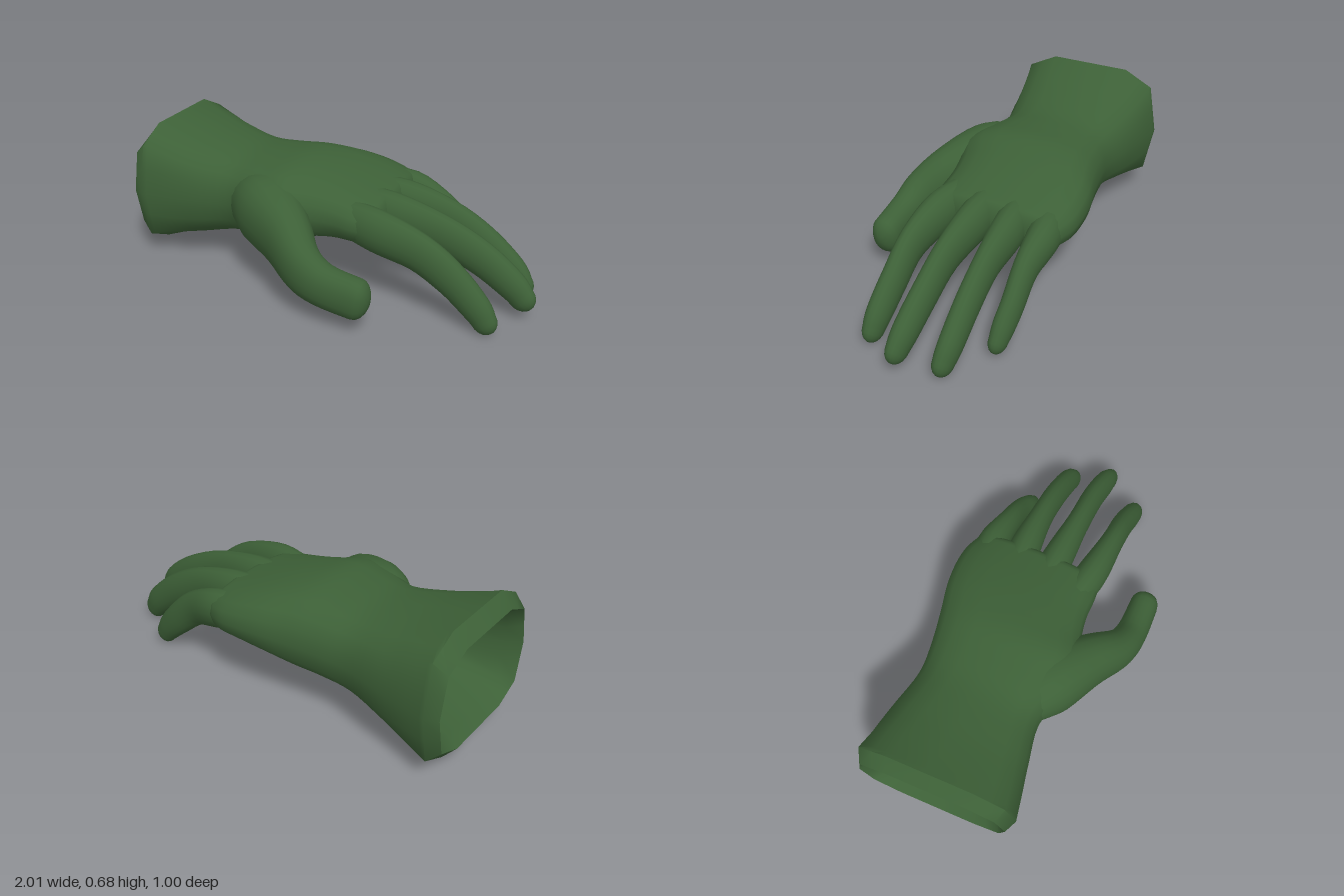
import * as THREE from 'three';
import { toCreasedNormals } from 'three/addons/utils/BufferGeometryUtils.js';

const UP = new THREE.Vector3(0, 1, 0);
const material = new THREE.MeshStandardMaterial({ color: 0x3d6037, side: THREE.DoubleSide });

// A section is [x, y, z, halfWidth, halfHeight, roundness (1 = ellipse), facet (1 = ten-sided)].
// Smoothly fills in sections between the given ones.
function refine(sections, steps) {
  const out = [];
  for (let i = 0; i < sections.length - 1; i++) {
    for (let s = 0; s < steps; s++) {
      const t = s / steps;
      out.push(sections[i].map((b, k) => {
        const c = sections[i + 1][k];
        const a = (sections[i - 1] ?? sections[i])[k];
        const d = (sections[i + 2] ?? sections[i + 1])[k];
        return b + 0.5 * t * (c - a + t * (2 * a - 5 * b + 4 * c - d + t * (3 * (b - c) + d - a)));
      }));
    }
  }
  out.push(sections[sections.length - 1]);
  return out;
}

const centre = (s) => new THREE.Vector3(s[0], s[1], s[2]);

// Turns sections into rings square to the path, and closes the end with a dome.
function ringsAlong(sections, domeLength, fixedFrame) {
  const rings = sections.map((s, i) => {
    const before = sections[Math.max(i - 1, 0)];
    const after = sections[Math.min(i + 1, sections.length - 1)];
    const dir = fixedFrame ? new THREE.Vector3(1, 0, 0)
      : centre(after).sub(centre(before)).normalize();
    const side = dir.clone().cross(UP).normalize();
    return { s, dir, side, up: side.clone().cross(dir), c: centre(s) };
  });
  const last = rings[rings.length - 1];
  for (let k = 1; k <= 5; k++) {
    const a = (k / 5) * Math.PI / 2;
    const s = last.s.slice();
    s[3] *= Math.cos(a);
    s[4] *= Math.cos(a);
    rings.push({ ...last, s, c: last.c.clone().addScaledVector(last.dir, domeLength * Math.sin(a)) });
  }
  return rings;
}

// Skins the rings into one smooth surface.
function skin(name, rings, sides) {
  const pos = [], index = [];
  const power = (v, e) => Math.sign(v) * Math.abs(v) ** e;
  for (const { s, c, side, up } of rings) {
    const [, , , w, h, e = 1, facet = 0] = s;
    const point = (j) => {
      const a = (j / sides) * Math.PI * 2;
      return c.clone().addScaledVector(side, w * power(Math.cos(a), e))
        .addScaledVector(up, h * power(Math.sin(a), e));
    };
    for (let j = 0; j < sides; j++) {
      const p = point(j);
      if (j % 2) p.lerp(point(j - 1).lerp(point(j + 1), 0.5), facet);
      pos.push(p.x, p.y, p.z);
    }
  }
  for (let i = 0; i < rings.length - 1; i++) {
    for (let j = 0; j < sides; j++) {
      const k = (j + 1) % sides;
      const a = i * sides + j, b = i * sides + k;
      index.push(a, a + sides, b, b, a + sides, b + sides);
    }
  }
  const geometry = new THREE.BufferGeometry();
  geometry.setAttribute('position', new THREE.Float32BufferAttribute(pos, 3));
  geometry.setIndex(index);
  const mesh = new THREE.Mesh(toCreasedNormals(geometry, 1.1), material);
  mesh.name = name;
  return mesh;
}

export function createModel() {
  const glove = new THREE.Group();
  glove.name = 'glove';

  // Hollow lining and rim of the cuff, running out towards the opening
  const lining = [
    [-0.55, 0.365, -0.11, 0.01, 0.01, 0.7, 0],
    [-0.58, 0.365, -0.11, 0.23, 0.15, 0.7, 0],
    [-0.75, 0.365, -0.115, 0.28, 0.185, 0.6, 0.5],
    [-0.94, 0.365, -0.115, 0.315, 0.225, 0.56, 1],
    [-1.00, 0.365, -0.115, 0.36, 0.255, 0.56, 1],
  ];
  // Cuff, wrist, back of the hand and palm, with a swell towards the thumb
  const outside = refine([
    [-0.94, 0.365, -0.115, 0.388, 0.324, 0.56, 1],
    [-0.82, 0.363, -0.115, 0.365, 0.283, 0.62, 0.5],
    [-0.68, 0.36, -0.113, 0.335, 0.245, 0.7, 0],
    [-0.50, 0.365, -0.108, 0.303, 0.207, 0.75, 0],
    [-0.35, 0.376, -0.09, 0.33, 0.2, 0.75, 0],
    [-0.20, 0.388, -0.085, 0.36, 0.197, 0.75, 0],
    [-0.06, 0.398, -0.125, 0.35, 0.165, 0.75, 0],
    [0.06, 0.395, -0.141, 0.345, 0.14, 0.75, 0],
    [0.16, 0.385, -0.137, 0.342, 0.123, 0.75, 0],
    [0.24, 0.378, -0.125, 0.325, 0.108, 0.75, 0],
  ], 4);
  glove.add(skin('palmAndCuff', ringsAlong([...lining, ...outside], 0.05, true), 20));

  // Fingers, curling down from the knuckles
  const fingers = {
    indexFinger: [
      [0.08, 0.39, 0.09, 0.07, 0.09], [0.28, 0.375, 0.138, 0.077, 0.108],
      [0.50, 0.327, 0.163, 0.057, 0.097], [0.66, 0.23, 0.167, 0.055, 0.086],
      [0.78, 0.127, 0.177, 0.053, 0.075], [0.825, 0.07, 0.182, 0.045, 0.063],
    ],
    middleFinger: [
      [0.08, 0.4, -0.06, 0.07, 0.09], [0.28, 0.385, -0.045, 0.077, 0.108],
      [0.53, 0.342, -0.03, 0.057, 0.097], [0.73, 0.262, -0.027, 0.055, 0.088],
      [0.88, 0.17, -0.017, 0.054, 0.077], [0.94, 0.115, -0.01, 0.045, 0.066],
    ],
    ringFinger: [
      [0.08, 0.4, -0.2, 0.07, 0.09], [0.28, 0.38, -0.213, 0.077, 0.108],
      [0.50, 0.337, -0.213, 0.057, 0.095], [0.68, 0.25, -0.212, 0.055, 0.086],
      [0.83, 0.137, -0.207, 0.053, 0.075], [0.885, 0.074, -0.2, 0.045, 0.063],
    ],
    littleFinger: [
      [0.08, 0.39, -0.34, 0.08, 0.08], [0.25, 0.37, -0.371, 0.077, 0.098],
      [0.42, 0.303, -0.36, 0.055, 0.086], [0.55, 0.193, -0.358, 0.05, 0.077],
      [0.62, 0.122, -0.35, 0.048, 0.068], [0.658, 0.075, -0.345, 0.042, 0.058],
    ],
  };
  for (const [name, sections] of Object.entries(fingers)) {
    glove.add(skin(name, ringsAlong(refine(sections, 4), 0.067), 16));
  }

  // Thumb, swelling gently out of the side of the palm and turning forward
  const thumb = refine([
    [-0.50, 0.37, 0.03, 0.09, 0.08, 0.9], [-0.39, 0.37, 0.09, 0.135, 0.15, 0.9],
    [-0.27, 0.367, 0.165, 0.157, 0.18, 0.9], [-0.11, 0.32, 0.285, 0.12, 0.163, 0.9],
    [0.02, 0.25, 0.387, 0.09, 0.13, 0.9], [0.14, 0.205, 0.42, 0.077, 0.107, 0.9],
    [0.31, 0.178, 0.424, 0.071, 0.1, 0.85],
  ], 4);
  glove.add(skin('thumb', ringsAlong(thumb, 0.065), 20));

  return glove;
}
